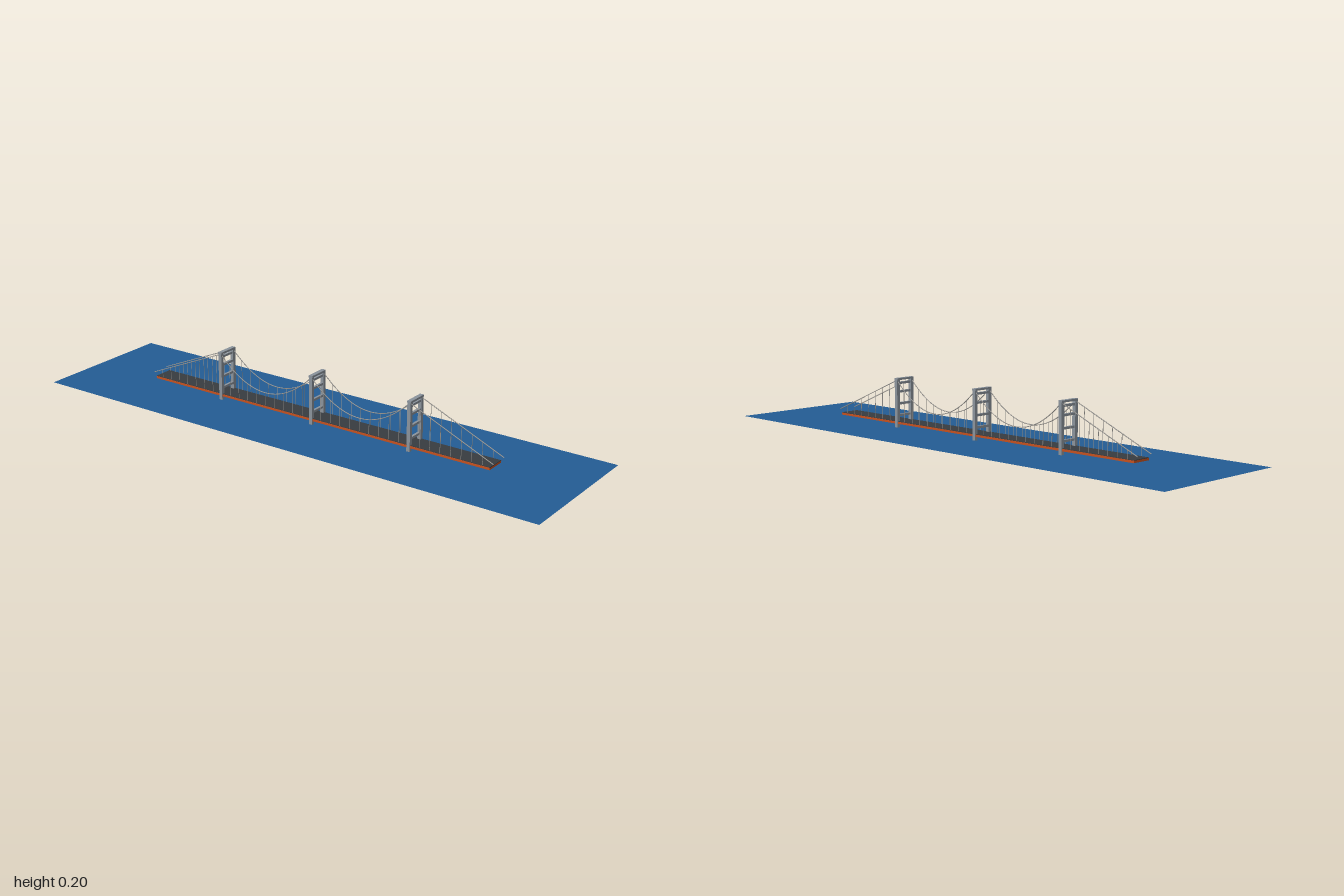
import * as THREE from 'three';

const mat = (name, color, side = THREE.FrontSide) => {
  const m = new THREE.MeshStandardMaterial({ color, side });
  m.name = name;
  return m;
};

export function createModel() {
  const water = mat('waterBlue', 0x235c94, THREE.DoubleSide);
  const stone = mat('towerGrey', 0x8b939c);
  const orange = mat('girderOrange', 0xc4501f);
  const asphalt = mat('asphalt', 0x383c40);
  const steel = mat('cableSteel', 0x9c9a96);

  const model = new THREE.Group();
  model.name = 'suspensionBridge';

  const add = (parent, name, geometry, material, x = 0, y = 0, z = 0) => {
    const mesh = new THREE.Mesh(geometry, material);
    mesh.name = name;
    mesh.position.set(x, y, z);
    parent.add(mesh);
    return mesh;
  };
  // Box given by its centre in x and z and its bottom and top heights
  const box = (parent, name, material, x, z, y0, y1, w, d) =>
    add(parent, name, new THREE.BoxGeometry(w, y1 - y0, d), material, x, (y0 + y1) / 2, z);

  // Water surface
  const sea = add(model, 'water', new THREE.PlaneGeometry(2, 0.532), water, 0, 0.026, 0);
  sea.rotation.x = -Math.PI / 2;

  // Deck: girder with the road on top
  box(model, 'deckGirder', orange, 0, 0, 0.039, 0.0465, 1.4, 0.074);
  box(model, 'road', asphalt, 0, 0, 0.0465, 0.0485, 1.4, 0.07);

  // Towers on sunken footings
  const span = 0.395;
  for (const x of [-span, 0, span]) {
    const tower = new THREE.Group();
    tower.name = 'tower';
    tower.position.x = x;
    model.add(tower);
    box(tower, 'footing', stone, 0, 0, 0, 0.018, 0.06, 0.12);
    for (const s of [-1, 1]) box(tower, 'towerLeg', stone, 0, s * 0.033, 0.025, 0.198, 0.013, 0.013);
    for (const y of [0.07, 0.112, 0.155, 0.186]) {
      box(tower, 'crossBeam', stone, 0, 0, y - 0.004, y + 0.004, 0.009, 0.056);
    }
    box(tower, 'towerCap', stone, 0, 0, 0.197, 0.204, 0.015, 0.078);
  }

  // Cable height: parabolas between towers, straight backstays outside
  const top = 0.196, low = 0.095, endX = 0.712, endY = 0.06;
  const cableY = (x) => {
    const a = Math.abs(x);
    if (a > span) return top + (endY - top) * (a - span) / (endX - span);
    const t = (a / span) * 2 - 1;
    return low + (top - low) * t * t;
  };

  // Main cables and hangers on both sides
  const step = span / 10;
  for (const z of [-0.034, 0.034]) {
    const cable = new THREE.CurvePath();
    const xs = [-endX];
    for (let i = -20; i <= 20; i++) xs.push(i * span / 20);
    xs.push(endX);
    const pts = xs.map((x) => new THREE.Vector3(x, cableY(x), z));
    for (let i = 1; i < pts.length; i++) cable.add(new THREE.LineCurve3(pts[i - 1], pts[i]));
    add(model, 'mainCable', new THREE.TubeGeometry(cable, 240, 0.0016, 6), steel);

    for (let i = -17; i <= 17; i++) {
      if (i % 10 === 0) continue;
      const x = i * step, h = cableY(x) - 0.046;
      add(model, 'hanger', new THREE.CylinderGeometry(0.0009, 0.0009, h, 5), steel, x, 0.046 + h / 2, z);
    }
  }
  return model;
}
